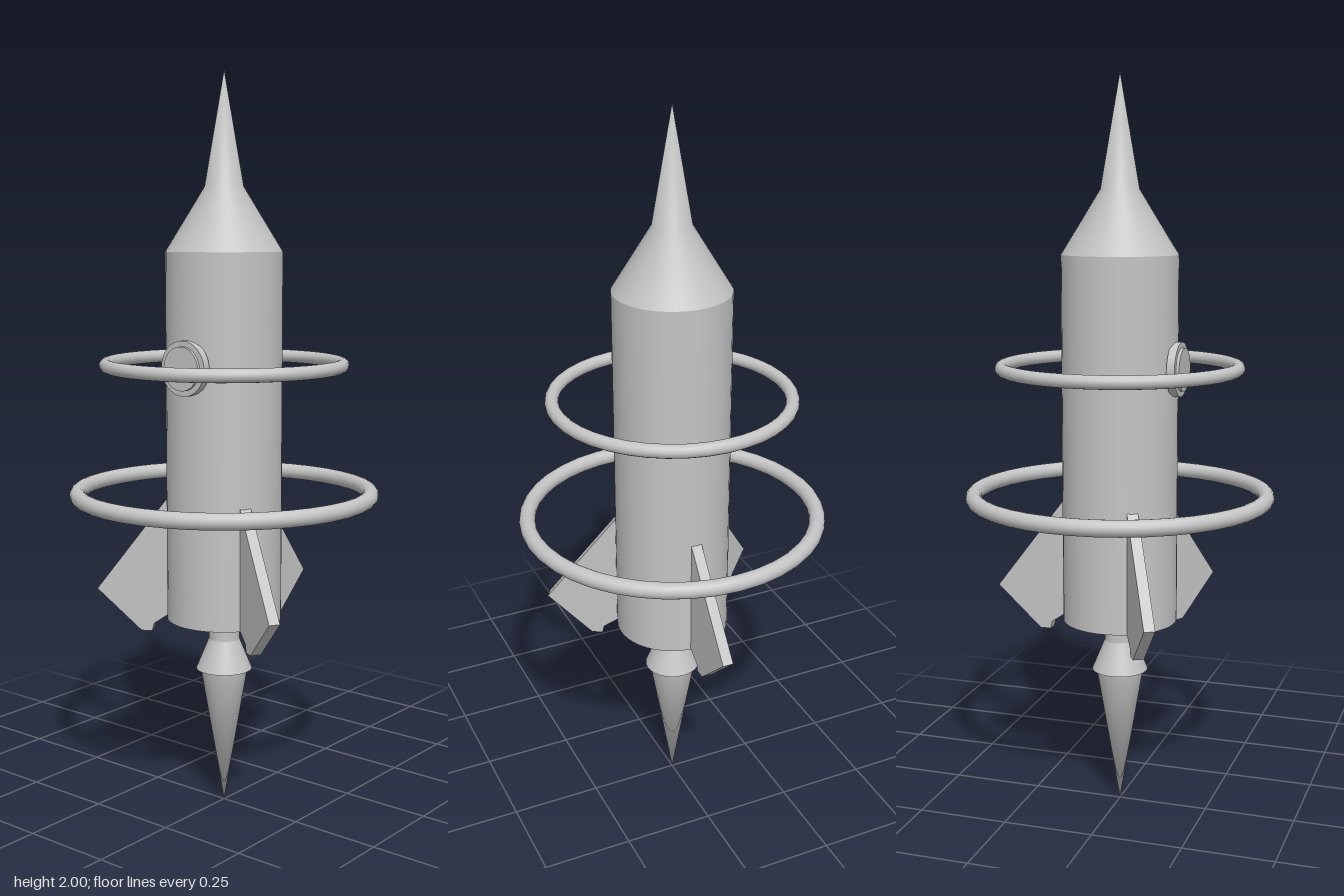
import * as THREE from 'three';
import { mergeVertices } from 'three/addons/utils/BufferGeometryUtils.js';

const SEGMENTS = 48;

// Turned part with fully blended normals, so the tips shade softly
function turned(points) {
  const lathe = new THREE.LatheGeometry(points.map(([r, y]) => new THREE.Vector2(r, y)), SEGMENTS);
  lathe.deleteAttribute('normal');
  lathe.deleteAttribute('uv');
  const geometry = mergeVertices(lathe, 1e-5);
  geometry.computeVertexNormals();
  return geometry;
}

export function createModel() {
  const model = new THREE.Group();
  model.name = 'rocket';

  const grey = new THREE.MeshStandardMaterial({ color: 0xc4c4c4 });
  grey.name = 'light grey';

  function add(name, geometry, x = 0, y = 0, z = 0, parent = model) {
    const mesh = new THREE.Mesh(geometry, grey);
    mesh.name = name;
    mesh.position.set(x, y, z);
    parent.add(mesh);
    return mesh;
  }

  // Hull and needle nose
  add('body', new THREE.CylinderGeometry(0.157, 0.157, 1, SEGMENTS), 0, 1.03, 0);
  add('nose', turned([[0.157, 1.53], [0.052, 1.7], [0, 2]]));

  // Engine: neck, flared bell and exhaust flame
  add('engineNeck', new THREE.CylinderGeometry(0.042, 0.042, 0.07, SEGMENTS), 0, 0.5, 0);
  add('engineBell', new THREE.CylinderGeometry(0.042, 0.077, 0.085, SEGMENTS), 0, 0.4275, 0);
  add('flame', turned([[0, 0], [0.065, 0.386]]));

  // Two rings floating around the hull
  for (const [name, radius, tube, y] of [['upperRing', 0.318, 0.018, 1.23], ['lowerRing', 0.398, 0.022, 0.88]]) {
    add(name, new THREE.TorusGeometry(radius, tube, 16, 40), 0, y, 0).rotation.x = Math.PI / 2;
  }

  // Porthole on the front
  const porthole = new THREE.Group();
  porthole.name = 'porthole';
  porthole.position.y = 1.23;
  porthole.rotation.x = Math.PI / 2;
  model.add(porthole);
  add('portholeFrame', new THREE.CylinderGeometry(0.073, 0.073, 0.022, 32), 0, 0.161, 0, porthole);
  add('portholeGlass', new THREE.CylinderGeometry(0.058, 0.058, 0.03, 32), 0, 0.165, 0, porthole);

  // Three swept fins, one straight back and two toward the front
  const outline = [
    [0.14, 0.88], [0.157, 0.86], [0.355, 0.6], [0.23, 0.485],
    [0.2, 0.485], [0.195, 0.506], [0.157, 0.532], [0.14, 0.54],
  ];
  const finShape = new THREE.Shape(outline.map(([r, y]) => new THREE.Vector2(r, y)));
  const finGeometry = new THREE.ExtrudeGeometry(finShape, { depth: 0.03, bevelEnabled: false });
  finGeometry.translate(0, 0, -0.015);
  ['backFin', 'rightFin', 'leftFin'].forEach((name, i) => {
    add(name, finGeometry).rotation.y = Math.PI / 2 + i * Math.PI * 2 / 3;
  });

  return model;
}
